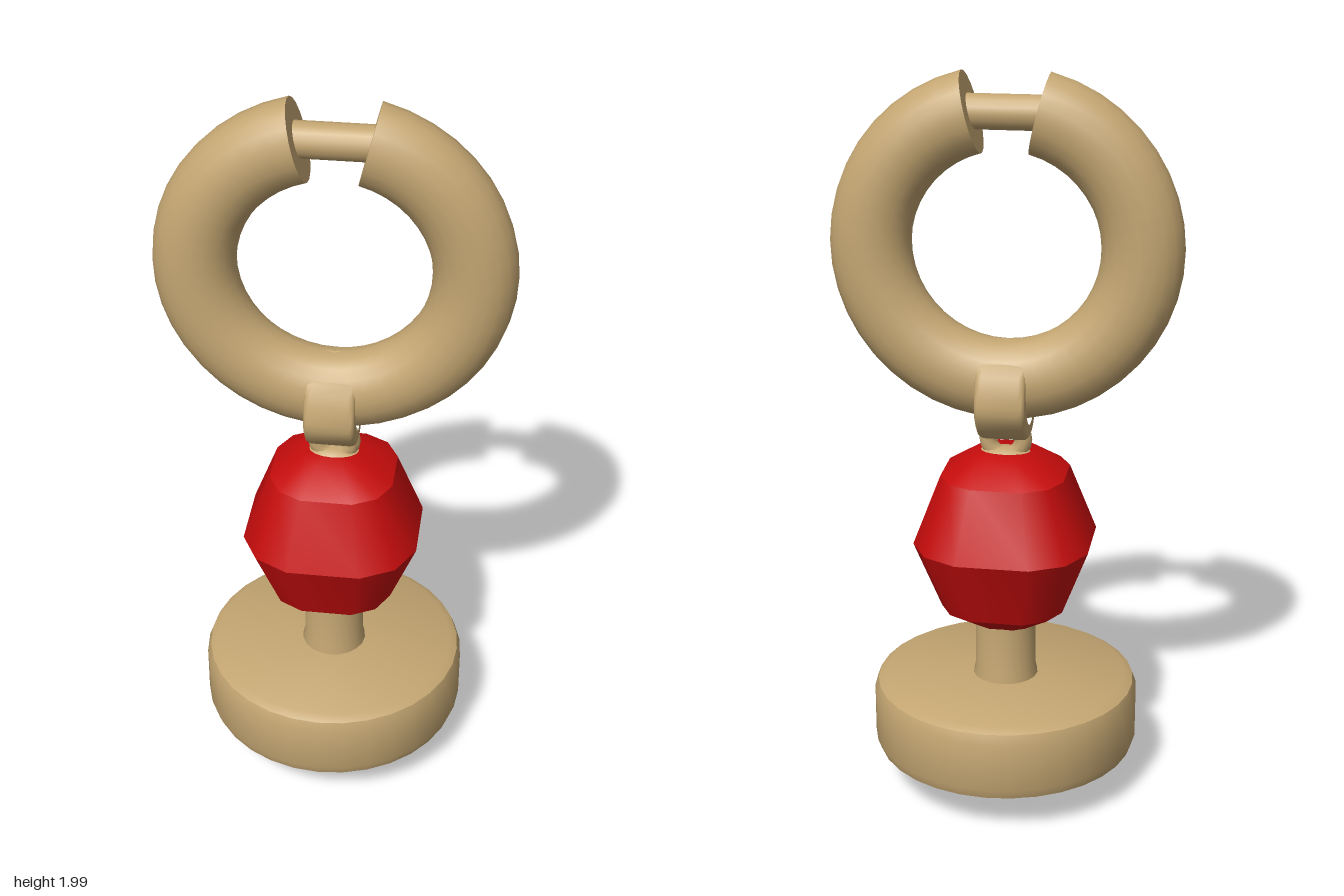
import * as THREE from 'three';
import { toCreasedNormals } from 'three/addons/utils/BufferGeometryUtils.js';

const brass = new THREE.MeshStandardMaterial({ color: 0xc4a672 });
brass.name = 'brass';
const red = new THREE.MeshStandardMaterial({ color: 0xc60c0c });
red.name = 'red';

function lathe(points, segments) {
  return new THREE.LatheGeometry(points.map(([r, y]) => new THREE.Vector2(r, y)), segments);
}

export function createModel() {
  const model = new THREE.Group();
  const add = (name, geometry, material = brass, parent = model) => {
    const mesh = new THREE.Mesh(geometry, material);
    mesh.name = name;
    parent.add(mesh);
    return mesh;
  };

  // Base disc with bevelled rims
  add('baseDisc', toCreasedNormals(lathe([
    [0, 0.105], [0.335, 0.105], [0.357, 0.118], [0.367, 0.145],
    [0.367, 0.28], [0.357, 0.307], [0.335, 0.32], [0, 0.32],
  ], 32), 0.6));

  // Stem running through the disc into the bead
  add('stem', toCreasedNormals(lathe([
    [0, 0], [0.08, 0], [0.088, 0.01], [0.088, 0.08], [0.092, 0.11],
    [0.092, 0.31], [0.084, 0.345], [0.084, 0.5], [0, 0.5],
  ], 20), 0.6));

  // Faceted bead: four broad sides with chamfered corners
  const bead = lathe([
    [0, 0.482], [0.34, 0.482], [0.7, 0.54], [1, 0.73], [0.7, 0.92], [0.34, 0.978], [0, 0.978],
  ], 12);
  const pos = bead.attributes.position;
  for (let i = 0; i < pos.count; i++) {
    const column = Math.floor(i / 7) % 12;
    const step = column % 3;
    const angle = (Math.floor(column / 3) * 90 + 22.5 * (step + 1)) * Math.PI / 180;
    const r = Math.hypot(pos.getX(i), pos.getZ(i)) * (step === 1 ? 0.267 : 0.257);
    pos.setXYZ(i, Math.sin(angle) * r, pos.getY(i), Math.cos(angle) * r);
  }
  add('bead', toCreasedNormals(bead, 0.6), red);

  // Small upright eyelet on top of the bead
  const eyelet = add('eyelet', new THREE.TorusGeometry(0.048, 0.024, 10, 20));
  eyelet.position.y = 1.012;
  add('eyeletFoot', lathe([[0.078, 0.965], [0.066, 0.98], [0.03, 0.988], [0, 0.99]], 16))
    .scale.z = 0.6;

  // Teardrop strap hanging from the ring
  const outline = (s) => new THREE.SplineCurve([
    [0, 1.29], [0.085, 1.235], [0.122, 1.13], [0.1, 1.07], [0.05, 1.025],
    [0, 1.015], [-0.05, 1.025], [-0.1, 1.07], [-0.122, 1.13], [-0.085, 1.235], [0, 1.29],
  ].map(([z, y]) => new THREE.Vector2(z * s, 1.15 + (y - 1.15) * s))).getPoints(40);
  const strapShape = new THREE.Shape(outline(0.9));
  strapShape.holes.push(new THREE.Path(outline(0.68)));
  const strap = new THREE.ExtrudeGeometry(strapShape, {
    depth: 0.1, bevelThickness: 0.017, bevelSize: 0.012, bevelSegments: 3,
  });
  strap.translate(0, 0, -0.05).rotateY(Math.PI / 2);
  add('strap', toCreasedNormals(strap, 0.7));

  // Open ring with flat ends
  const ring = new THREE.Group();
  ring.name = 'ring';
  ring.position.y = 1.537;
  ring.scale.z = 0.88;
  model.add(ring);
  const gap = 0.25, major = 0.357, tube = 0.108;
  const arc = new THREE.TorusGeometry(major, tube, 20, 40, Math.PI * 2 - gap * 2);
  arc.rotateZ(Math.PI / 2 + gap);
  add('ringArc', arc, brass, ring);
  for (const side of [-1, 1]) {
    const end = add(side > 0 ? 'ringEndLeft' : 'ringEndRight',
      new THREE.CircleGeometry(tube, 20), brass, ring);
    end.position.set(side * Math.sin(gap) * major, Math.cos(gap) * major, 0);
    end.rotation.set(0, -side * Math.PI / 2, -side * gap, 'ZYX');
  }

  // Hinge pin bridging the gap
  const pin = add('hingePin', new THREE.CylinderGeometry(0.046, 0.046, 0.22, 16));
  pin.rotation.z = Math.PI / 2;
  pin.position.y = 1.884;

  return model;
}
